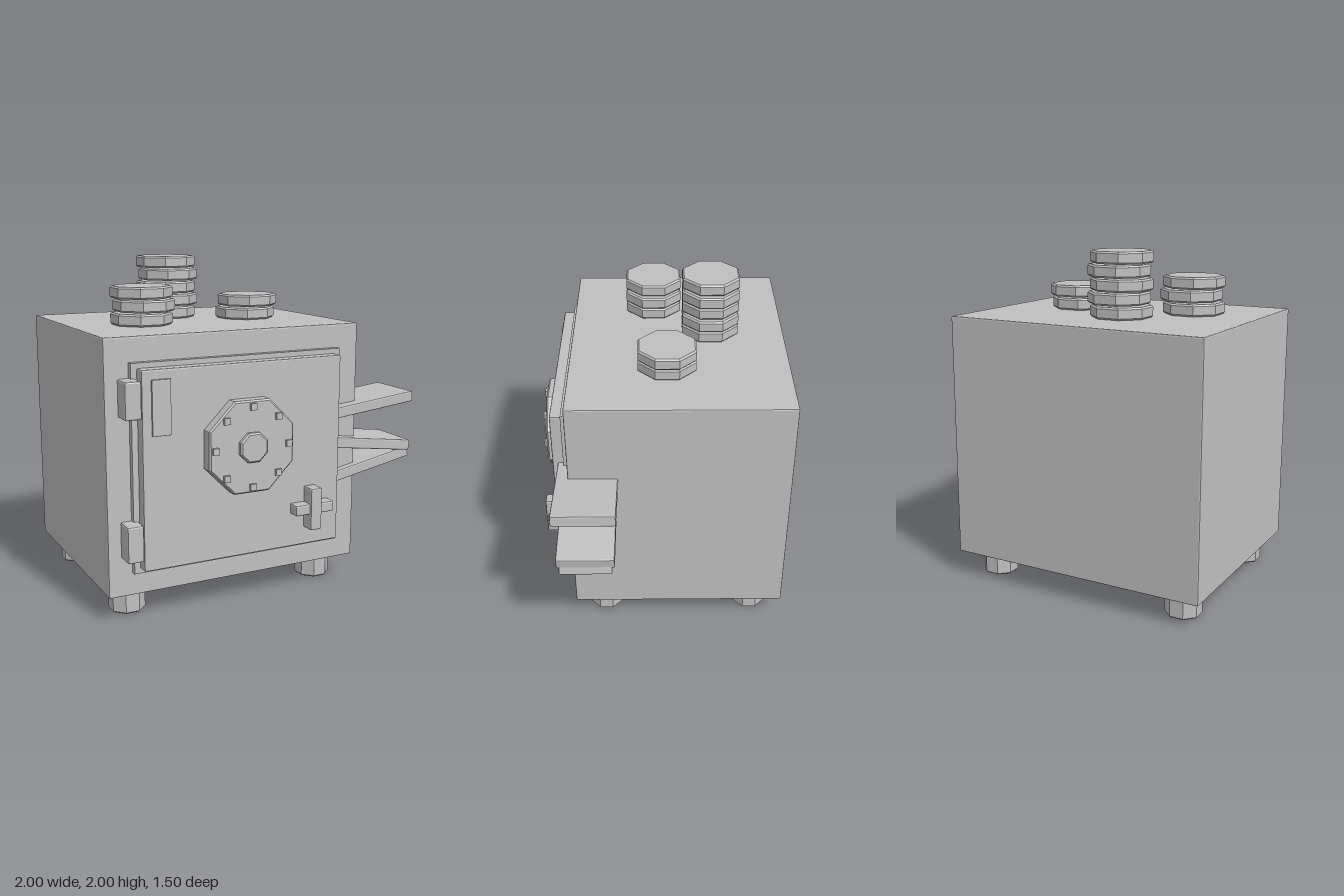
import * as THREE from 'three';
import { RoundedBoxGeometry } from 'three/addons/geometries/RoundedBoxGeometry.js';

export function createModel() {
  const safe = new THREE.Group();
  safe.name = 'safe';
  const grey = new THREE.MeshStandardMaterial({ color: 0xc0c0c0, flatShading: true });
  grey.name = 'grey';

  const add = (name, geometry, x = 0, y = 0, z = 0, parent = safe) => {
    const mesh = new THREE.Mesh(geometry, grey);
    mesh.name = name;
    mesh.position.set(x, y, z);
    parent.add(mesh);
    return mesh;
  };

  // Box with softened edges, given by its limits on each axis
  const box = (name, [x0, x1], [y0, y1], [z0, z1], bevel = 0.008, parent = safe) =>
    add(name, new RoundedBoxGeometry(x1 - x0, y1 - y0, z1 - z0, 1, bevel),
      (x0 + x1) / 2, (y0 + y1) / 2, (z0 + z1) / 2, parent);

  // Bevelled eight-sided disc standing on y = 0, flats facing the axes
  const octagon = (apothem, height, bevel) => {
    const r = apothem / Math.cos(Math.PI / 8);
    const profile = [
      [0, 0], [r - bevel, 0], [r, bevel],
      [r, height - bevel], [r - bevel, height], [0, height],
    ].map(([x, y]) => new THREE.Vector2(x, y));
    return new THREE.LatheGeometry(profile, 8, Math.PI / 8);
  };

  // Cabinet, door frame and door
  box('cabinet', [-1, 0.61], [0.15, 1.615], [-0.755, 0.545]);
  box('doorFrame', [-0.86, 0.465], [0.285, 1.475], [0.5, 0.58], 0.002);
  box('door', [-0.825, 0.43], [0.315, 1.445], [0.56, 0.647]);
  box('namePlate', [-0.77, -0.66], [1.08, 1.39], [0.63, 0.66], 0.002);

  // Hinges
  for (const y of [0.485, 1.285]) {
    box('hinge', [-0.925, -0.83], [y - 0.105, y + 0.105], [0.54, 0.66], 0.01);
  }

  // Feet
  for (const x of [-0.83, 0.435]) {
    for (const z of [0.36, -0.565]) add('foot', octagon(0.099, 0.16, 0.008), x, 0, z);
  }

  // Combination dial with a ring of studs and a central knob
  const dial = new THREE.Group();
  dial.name = 'dial';
  dial.position.set(-0.195, 0.975, 0);
  safe.add(dial);
  add('dialDisc', octagon(0.267, 0.082, 0.01), 0, 0, 0.64, dial).rotation.x = Math.PI / 2;
  add('dialKnob', octagon(0.085, 0.05, 0.01), 0, 0, 0.7, dial).rotation.x = Math.PI / 2;
  for (let i = 0; i < 8; i++) {
    const a = (i * Math.PI) / 4;
    add('dialStud', new THREE.BoxGeometry(0.038, 0.038, 0.03),
      0.232 * Math.cos(a), 0.232 * Math.sin(a), 0.723, dial);
  }

  // Cross-shaped handle
  box('handleUpright', [0.19, 0.265], [0.425, 0.68], [0.645, 0.737], 0.01);
  box('handleBar', [0.098, 0.355], [0.52, 0.585], [0.645, 0.722], 0.01);

  // Stacks of coins, alternate coins nudged sideways
  const stacks = [
    { x: -0.278, z: -0.3, count: 5 },
    { x: -0.58, z: 0.045, count: 3 },
    { x: 0.148, z: -0.032, count: 2 },
  ];
  for (const { x, z, count } of stacks) {
    const stack = new THREE.Group();
    stack.name = 'coinStack';
    stack.position.set(x, 1.617, z);
    safe.add(stack);
    for (let i = 0; i < count; i++) {
      add('coin', octagon(0.17, 0.071, 0.01), (i % 2) * 0.016, i * 0.078, 0, stack);
    }
  }

  // Bundles of notes fanning out past the edge of the door
  const bundles = [
    { y0: 1.083, y1: 1.146, z: [0.255, 0.615] },
    { y0: 0.909, y1: 0.829, z: [0.27, 0.603] },
    { y0: 0.676, y1: 0.788, z: [0.285, 0.588] },
  ];
  for (const { y0, y1, z } of bundles) {
    const from = 0.4, to = 0.992;
    const angle = Math.atan2(y1 - y0, to - from);
    const length = Math.hypot(to - from, y1 - y0);
    const note = box('noteBundle', [0, length], [0, 0.066], z, 0.008);
    note.position.x = (from + to) / 2;
    note.position.y = (y0 + y1) / 2;
    note.rotation.z = angle;
  }

  return safe;
}
